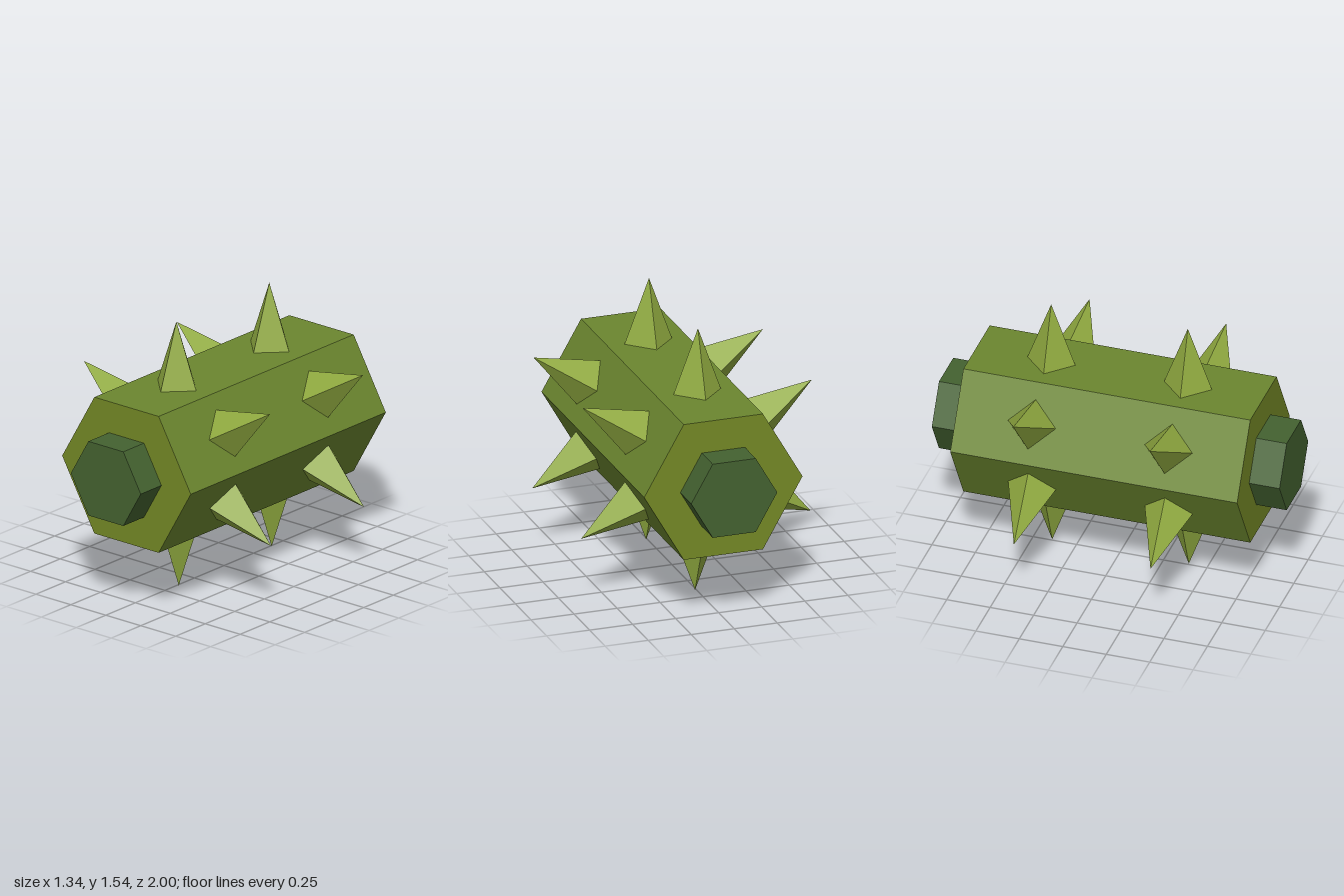
import * as THREE from 'three';

const CENTER_Y = 0.777;
const mat = (color) => new THREE.MeshStandardMaterial({ color, flatShading: true });

// Hexagonal bar lying along z, with corners on the x axis
function hexBar(name, radius, length, materials) {
  const geo = new THREE.CylinderGeometry(radius, radius, length, 6, 1, false, Math.PI / 6);
  geo.rotateX(Math.PI / 2);
  const mesh = new THREE.Mesh(geo, materials);
  mesh.name = name;
  return mesh;
}

export function createModel() {
  const model = new THREE.Group();
  model.name = 'spikedRoller';

  const side = mat(0x6b862f), end = mat(0x748926);
  const axleMat = mat(0x446230), spikeMat = mat(0x90aa40);

  // Roller body and the axle that sticks out at both ends
  const roller = new THREE.Group();
  roller.name = 'roller';
  roller.position.y = CENTER_Y;
  roller.add(hexBar('body', 0.46, 1.65, [side, end, end]));
  roller.add(hexBar('axle', 0.25, 2, axleMat));
  model.add(roller);

  // Two rings of four-sided spikes, one per face, base sunk slightly into the body
  const tip = 0.769, base = 0.38;
  const spikeGeo = new THREE.ConeGeometry(0.1445, tip - base, 4);
  spikeGeo.translate(0, (tip + base) / 2, 0);
  for (const z of [-0.393, 0.393]) {
    const ring = new THREE.Group();
    ring.name = z > 0 ? 'frontSpikes' : 'backSpikes';
    ring.position.z = z;
    ring.rotation.z = 0.011; // slight twist of the ring
    for (let i = 0; i < 6; i++) {
      const spike = new THREE.Mesh(spikeGeo, spikeMat);
      spike.name = 'spike';
      spike.rotation.z = (i * Math.PI) / 3;
      ring.add(spike);
    }
    roller.add(ring);
  }
  return model;
}
